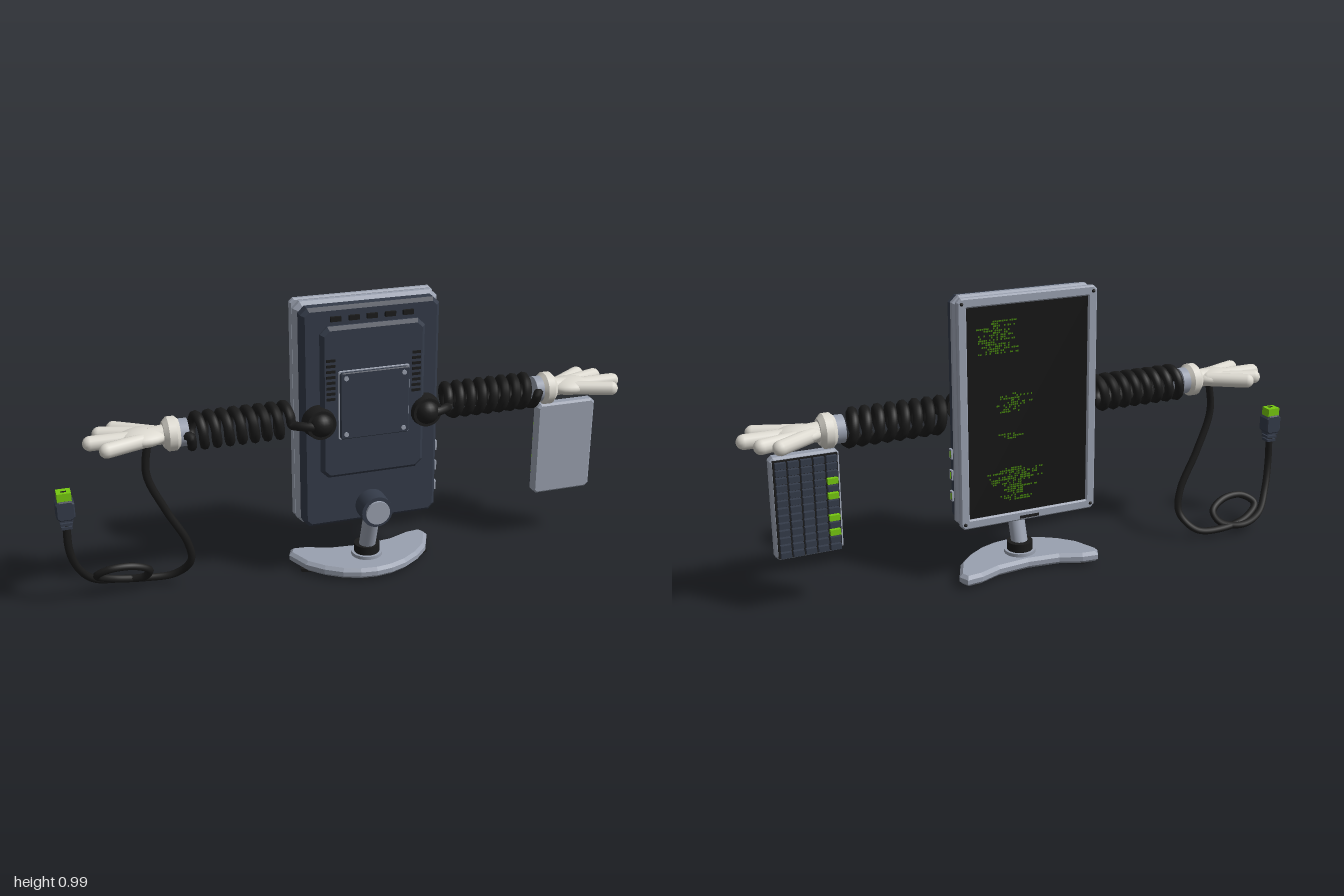
import * as THREE from 'three';
import { mergeGeometries } from 'three/addons/utils/BufferGeometryUtils.js';

const CX = 0.05;      // monitor centre line
const ARM_Y = 0.59;   // arm height

function material(name, color) {
  const m = new THREE.MeshStandardMaterial({ color });
  m.name = name;
  return m;
}

export function createModel() {
  const root = new THREE.Group();
  root.name = 'monitorWithArms';
  const slate = material('slate', 0x343b49);
  const grey = material('grey', 0x9aa1b0);
  const black = material('black', 0x1b1b1b);
  const screenBlack = material('screenBlack', 0x151515);
  const glove = material('glove', 0xdcd9d0);
  const green = material('green', 0x76c810);
  const dimGreen = material('dimGreen', 0x437f0c);

  const V = (x, y, z) => new THREE.Vector3(x, y, z);
  const add = (name, geometry, mat, x = 0, y = 0, z = 0) => {
    const mesh = new THREE.Mesh(geometry, mat);
    mesh.name = name;
    mesh.position.set(x, y, z);
    root.add(mesh);
    return mesh;
  };
  const box = (name, mat, w, h, d, x, y, z) => add(name, new THREE.BoxGeometry(w, h, d), mat, x, y, z);
  // straight round bar between two points
  const rod = (name, mat, a, b, r, round = false, r2 = r) => {
    const len = a.distanceTo(b);
    const g = round ? new THREE.CapsuleGeometry(r, len, 6, 14) : new THREE.CylinderGeometry(r2, r, len, 24);
    const m = add(name, g, mat);
    m.position.copy(a).add(b).multiplyScalar(0.5);
    m.quaternion.setFromUnitVectors(V(0, 1, 0), b.clone().sub(a).normalize());
    return m;
  };
  const tube = (name, mat, points, segments, r) =>
    add(name, new THREE.TubeGeometry(new THREE.CatmullRomCurve3(points), segments, r, 8), mat);

  // rectangle with cut corners
  const cutRect = (w, h, c, Type = THREE.Shape) => {
    const a = w / 2, b = h / 2;
    return new Type([[-a + c, -b], [a - c, -b], [a, -b + c], [a, b - c], [a - c, b], [-a + c, b], [-a, b - c], [-a, -b + c]]
      .map(p => new THREE.Vector2(...p)));
  };
  // bevelled slab filling x/y size w, h between z0 and z1
  const slab = (name, mat, w, h, c, x, y, z0, z1, bevel, hole) => {
    const shape = cutRect(w - 2 * bevel, h - 2 * bevel, c);
    if (hole) shape.holes.push(cutRect(hole[0], hole[1], 0.004, THREE.Path));
    const g = new THREE.ExtrudeGeometry(shape, {
      depth: z1 - z0 - 2 * bevel, bevelEnabled: bevel > 0, bevelSize: bevel, bevelThickness: bevel, bevelSegments: 1
    });
    return add(name, g, mat, x, y, z0 + bevel);
  };

  // monitor housing, from the rear shell to the screen bezel
  slab('rearShell', slate, 0.475, 0.775, 0.015, CX, 0.588, -0.01, 0.046, 0.012);
  slab('greyFrame', grey, 0.495, 0.79, 0.014, CX, 0.59, -0.044, 0, 0.014);
  slab('innerLayer', black, 0.46, 0.76, 0.01, CX, 0.592, -0.055, -0.04, 0);
  slab('screenBezel', grey, 0.495, 0.785, 0.01, CX, 0.592, -0.074, -0.052, 0.005, [0.44, 0.728]);
  box('screen', screenBlack, 0.45, 0.74, 0.006, CX, 0.592, -0.064);
  box('screenControl', black, 0.07, 0.01, 0.004, CX, 0.212, -0.074);
  for (const s of [-1, 1]) for (const y of [0.218, 0.966])
    add('bezelScrew', new THREE.SphereGeometry(0.006, 10, 6), black, CX + s * 0.232, y, -0.074);

  // scattered glowing cells in ragged rows: centre x, centre y, columns, rows
  let seed = 7;
  const random = () => (seed = (seed * 16807) % 2147483647) / 2147483647;
  const cells = [];
  for (const [px, py, cols, rows] of [[0.165, 0.85, 24, 15], [0.11, 0.625, 22, 9], [0.11, 0.51, 16, 3], [0.105, 0.34, 32, 16]])
    for (let j = 0; j < rows; j++) {
      const from = Math.floor(random() * cols * 0.45), to = cols * (0.55 + random() * 0.45);
      for (let i = from; i < to; i++) {
        if (random() > 0.66) continue;
        const g = new THREE.PlaneGeometry(0.0052, 0.0055).rotateY(Math.PI);
        cells.push(g.translate(px + (i - cols / 2) * 0.0065, py + (j - rows / 2) * 0.0075, -0.0675));
      }
    }
  add('screenCells', mergeGeometries(cells), dimGreen);

  // rear panel, mount plate and vents
  slab('rearPanel', slate, 0.36, 0.53, 0.018, CX, 0.65, 0.04, 0.07, 0.012);
  slab('mountPlateRim', grey, 0.246, 0.24, 0.004, CX, 0.645, 0.068, 0.075, 0.001);
  slab('mountPlate', slate, 0.238, 0.232, 0.004, CX, 0.645, 0.07, 0.086, 0.003);
  for (const s of [-1, 1]) {
    for (const t of [-1, 1]) {
      const screw = add('mountScrew', new THREE.CylinderGeometry(0.008, 0.008, 0.008, 10), grey, CX + s * 0.1, 0.645 + t * 0.098, 0.087);
      screw.rotation.x = Math.PI / 2;
    }
    for (let i = 0; i < 8; i++) box('sideVent', black, 0.03, 0.009, 0.006, CX + s * 0.148, 0.67 + i * 0.019, 0.07);
  }
  for (let i = -2; i <= 2; i++) box('topVent', black, 0.036, 0.016, 0.016, CX + i * 0.062, 0.936, 0.048);

  // side ports
  for (const y of [0.29, 0.365, 0.44]) {
    box('portShell', grey, 0.014, 0.034, 0.02, CX + 0.237, y, 0.024);
    box('portSlot', black, 0.003, 0.025, 0.012, CX + 0.2435, y, 0.022);
    box('portLight', green, 0.004, 0.022, 0.005, CX + 0.2445, y, 0.021);
  }

  // stand: hinge, neck, collar, base and pads
  rod('hingeDrum', slate, V(CX, 0.26, 0.035), V(CX, 0.26, 0.118), 0.055);
  rod('hingeCap', grey, V(CX, 0.26, 0.11), V(CX, 0.26, 0.127), 0.042);
  rod('neck', grey, V(CX, 0.25, 0.068), V(CX, 0.08, 0.008), 0.029);
  rod('collar', black, V(CX, 0.058, 0.006), V(CX, 0.09, 0.006), 0.045);
  rod('collarRing', grey, V(CX, 0.045, 0.006), V(CX, 0.06, 0.006), 0.055);
  const half = [[0, 0.115], [0.055, 0.108], [0.11, 0.087], [0.165, 0.05], [0.213, 0], [0.248, -0.08],
    [0.237, -0.105], [0.19, -0.1], [0.115, -0.07], [0, -0.058]];
  const outline = [...half, ...half.slice(1, -1).reverse().map(([x, z]) => [-x, z])].map(p => new THREE.Vector2(...p));
  const baseGeometry = new THREE.ExtrudeGeometry(new THREE.Shape(outline), {
    depth: 0.016, bevelSize: 0.011, bevelThickness: 0.011, bevelSegments: 1
  });
  baseGeometry.rotateX(Math.PI / 2);
  add('standBase', baseGeometry, grey, CX, 0.037, 0);
  for (const s of [-1, 1]) {
    const pad = box('basePad', black, 0.06, 0.012, 0.08, CX + s * 0.193, 0.006, -0.042);
    pad.rotation.y = s * 0.4;
  }

  // arms: socket, coiled cable, cuff and open hand, mirrored about the centre line
  for (const s of [-1, 1]) {
    const P = (d, z, y = ARM_Y) => V(CX + s * d, y, z);
    rod('armSocket', black, P(0.185, 0.045), P(0.185, 0.09), 0.057, false, 0.05);
    const knob = add('armKnob', new THREE.SphereGeometry(0.042, 20, 14), black);
    knob.position.copy(P(0.185, 0.078));
    const points = [P(0.17, 0.085), P(0.21, 0.092), P(0.25, 0.075)];
    const turns = 8, steps = 12, r = 0.05;
    for (let i = 0; i <= turns * steps; i++) {
      const a = i / steps * Math.PI * 2;
      points.push(P(0.275 + 0.335 * i / (turns * steps), r * Math.cos(a), ARM_Y + r * Math.sin(a)));
    }
    points.push(P(0.625, 0.03));
    tube('coiledArm', black, points, 500, 0.016);
    rod('wristRing', grey, P(0.612, 0), P(0.65, 0), 0.046);
    rod('cuffInnerEdge', glove, P(0.64, 0), P(0.652, 0), 0.046, false, 0.057);
    rod('cuff', glove, P(0.652, 0), P(0.677, 0), 0.057);
    rod('cuffOuterEdge', glove, P(0.677, 0), P(0.692, 0), 0.057, false, 0.042);
    rod('wrist', glove, P(0.67, 0), P(0.74, 0), 0.034, false, 0.03);
    const palm = add('palm', new THREE.SphereGeometry(1, 24, 16), glove);
    palm.scale.set(0.08, 0.03, 0.062);
    palm.position.copy(P(0.755, 0));
    const fingers = [[0.72, -0.025, 0.835, -0.1], [0.77, -0.03, 0.885, -0.066], [0.77, 0.002, 0.923, 0.002], [0.755, 0.03, 0.88, 0.076]];
    for (const [d0, z0, d1, z1] of fingers) rod('finger', glove, P(d0, z0), P(d1, z1), 0.0245, true);
  }

  // keyboard hanging from the left hand
  const KX = 0.795, KY = 0.36;
  slab('keyboardBody', grey, 0.222, 0.345, 0.008, KX, KY, -0.024, 0.016, 0.007);
  box('keyboardDeck', black, 0.206, 0.328, 0.008, KX, KY, -0.026);
  const greenRows = [2, 4, 7, 9];
  for (let row = 0; row < 13; row++) for (let col = 0; col < 5; col++) {
    const lit = col === 0 && greenRows.includes(row);
    box(lit ? 'litKey' : 'key', lit ? green : slate, 0.034, 0.019, 0.016,
      KX + (col - 2) * 0.0405, KY + (row - 6) * 0.025, -0.036);
  }

  // looped cable and plug hanging from the right hand
  const path = [[-0.69, 0.585, 0], [-0.703, 0.46, 0], [-0.648, 0.32, -0.01], [-0.578, 0.18, -0.02], [-0.568, 0.1, -0.035],
    [-0.62, 0.038, -0.075], [-0.72, 0.031, -0.09], [-0.83, 0.052, -0.08], [-0.885, 0.088, -0.05], [-0.845, 0.118, -0.025],
    [-0.765, 0.117, -0.025], [-0.708, 0.083, -0.045], [-0.725, 0.047, -0.07], [-0.8, 0.036, -0.1], [-0.885, 0.06, -0.08],
    [-0.94, 0.13, -0.035], [-0.968, 0.22, -0.006], [-0.97, 0.33, 0]];
  tube('cable', black, path.map(p => V(...p)), 220, 0.013);
  for (let i = 0; i < 3; i++) box('plugRib', slate, 0.036 + i * 0.004, 0.009, 0.034 + i * 0.003, -0.97, 0.312 + i * 0.014, 0);
  slab('plugBody', slate, 0.06, 0.068, 0.008, -0.97, 0.376, -0.026, 0.026, 0.004);
  box('plugTip', green, 0.046, 0.034, 0.042, -0.97, 0.42, 0);
  box('plugSlot', black, 0.018, 0.002, 0.008, -0.97, 0.437, 0.004);

  return root;
}
